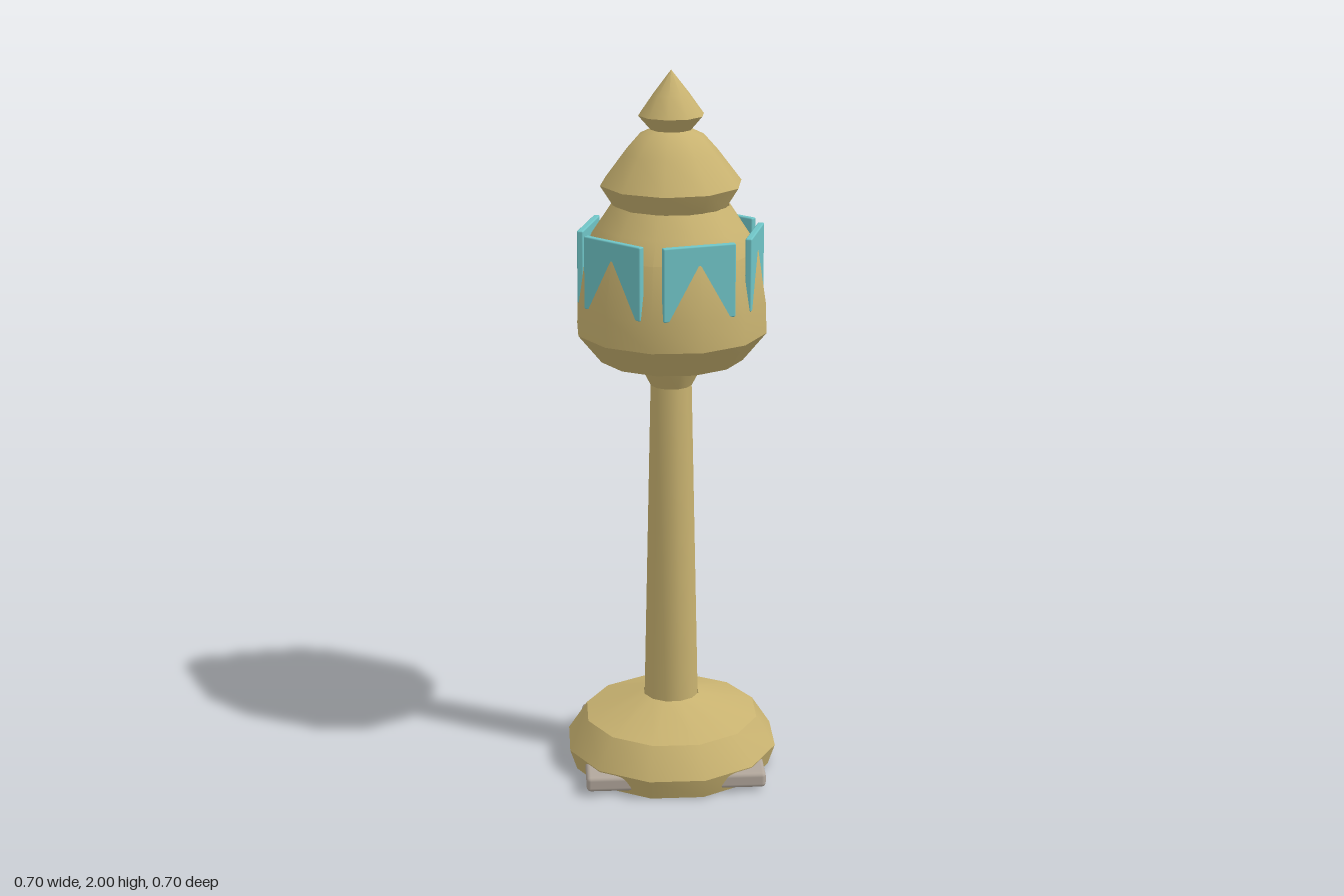
import * as THREE from 'three';
import { toCreasedNormals } from 'three/addons/utils/BufferGeometryUtils.js';
import { RoundedBoxGeometry } from 'three/addons/geometries/RoundedBoxGeometry.js';

export function createModel() {
  const model = new THREE.Group();
  model.name = 'lampPost';

  const brass = new THREE.MeshStandardMaterial({ name: 'brass', color: 0xc8b270, side: THREE.DoubleSide });
  const glass = new THREE.MeshStandardMaterial({ name: 'tealGlass', color: 0x6fc4c6 });
  const stone = new THREE.MeshStandardMaterial({ name: 'greyStone', color: 0xb2a79c });

  const add = (name, geometry, material) => {
    const mesh = new THREE.Mesh(geometry, material);
    mesh.name = name;
    model.add(mesh);
    return mesh;
  };

  // Turned part from [radius, height] points, bottom to top
  const turned = (name, sides, profile) => {
    const points = profile.map(([r, y]) => new THREE.Vector2(r, y));
    return add(name, toCreasedNormals(new THREE.LatheGeometry(points, sides), 0.6), brass);
  };

  // Square foot plate, corners towards the four sides
  const plate = add('footPlate', new RoundedBoxGeometry(0.505, 0.045, 0.505, 2, 0.012), stone);
  plate.position.y = 0.034;
  plate.rotation.y = Math.PI / 4;

  // Pedestal, tapering column and flared capital
  turned('pedestal', 12, [[0.285, 0], [0.305, 0.06], [0.25, 0.145], [0.08, 0.205]]);
  turned('column', 12, [[0.078, 0.2], [0.058, 1.13]]);
  turned('capital', 12, [[0.058, 1.13], [0.1, 1.21]]);

  // Lantern shell, open below
  turned('lanternBody', 12, [[0.2, 1.21], [0.265, 1.29], [0.262, 1.375], [0.24, 1.52], [0.2, 1.58], [0.16, 1.64]]);

  // Six glass panes around the lantern
  for (let i = 0; i < 6; i++) {
    const a = (i * Math.PI) / 3;
    const pane = add('glassPane', new RoundedBoxGeometry(0.202, 0.2, 0.018, 2, 0.004), glass);
    pane.position.set(Math.sin(a) * 0.23, 1.474, Math.cos(a) * 0.23);
    pane.rotation.y = a;
  }

  // Domed roof and pointed finial
  turned('roof', 10, [[0.16, 1.64], [0.195, 1.695], [0.13, 1.78], [0.09, 1.825], [0.055, 1.842]]);
  turned('finial', 10, [[0.055, 1.84], [0.09, 1.88], [0.05, 1.936], [0, 2]]);

  return model;
}
